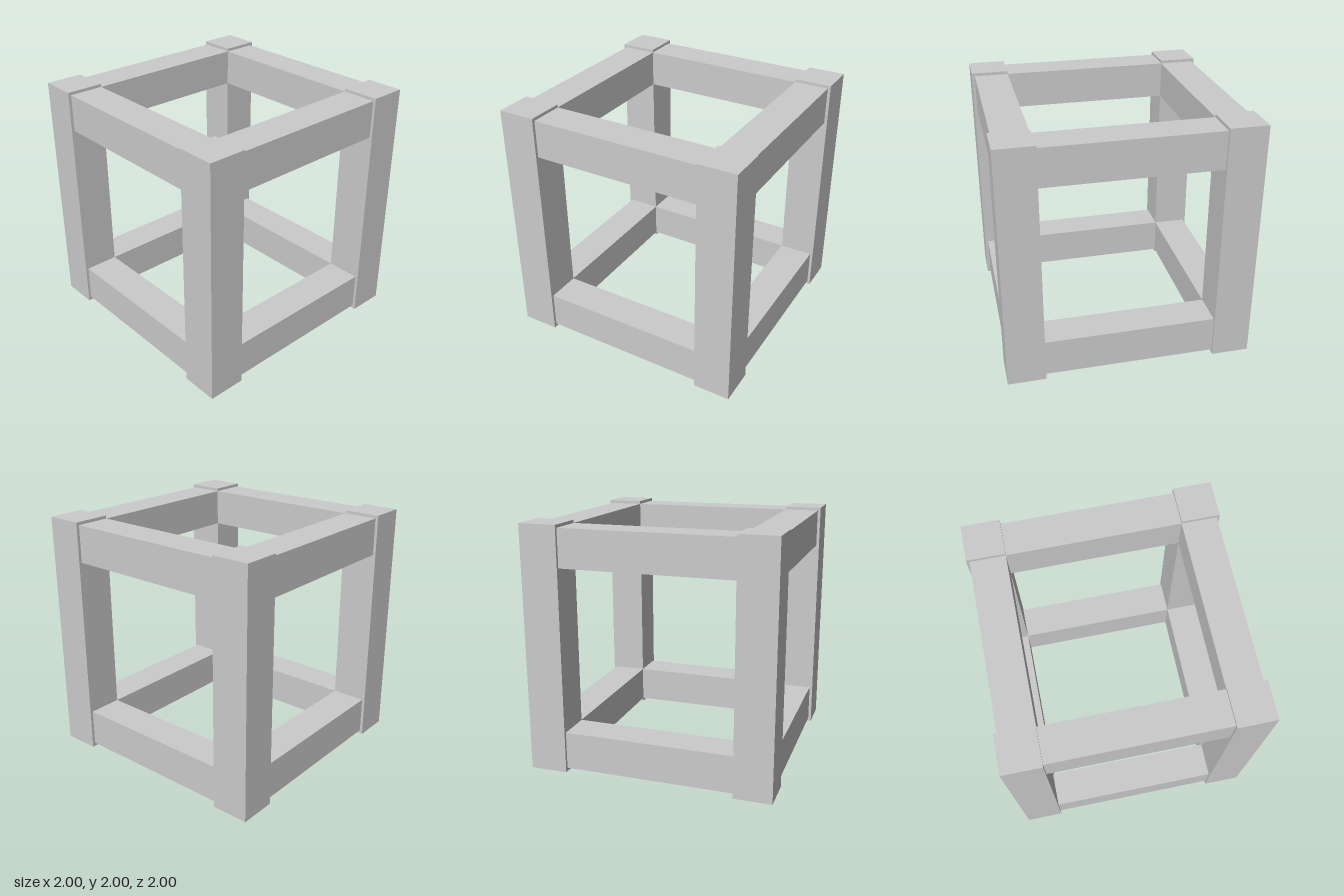
import * as THREE from 'three';

const POST = 0.306;          // post width, also rail height
const INNER = 1 - POST;      // inner faces of posts and rails
const OUTER = 0.976;         // outer faces of the rails, set back from the posts
const RAIL_Y = [0.183, 1.822];

export function createModel() {
  const group = new THREE.Group();
  group.name = 'cubeFrame';
  const material = new THREE.MeshStandardMaterial({ color: 0xcccccc, flatShading: true });

  const addBeam = (name, geometry, x, y, z, turn = 0) => {
    const mesh = new THREE.Mesh(geometry, material);
    mesh.name = name;
    mesh.position.set(x, y, z);
    mesh.rotation.y = turn;
    group.add(mesh);
  };

  // Four full-height corner posts
  const postGeometry = new THREE.BoxGeometry(POST, 2, POST);
  const postCentre = 1 - POST / 2;
  for (const [sx, side] of [[1, 'Left'], [-1, 'Right']]) {
    for (const [sz, end] of [[1, 'front'], [-1, 'back']]) {
      addBeam(`${end}${side}Post`, postGeometry, sx * postCentre, 1, sz * postCentre);
    }
  }

  // Lower and upper rails between the posts, flush on the inside
  const railGeometry = new THREE.BoxGeometry(2 * INNER, POST, OUTER - INNER);
  const railCentre = (INNER + OUTER) / 2;
  RAIL_Y.forEach((y, i) => {
    const level = i === 0 ? 'Lower' : 'Upper';
    ['front', 'left', 'back', 'right'].forEach((side, k) => {
      const turn = k * Math.PI / 2;
      addBeam(`${side}${level}Rail`, railGeometry,
        Math.sin(turn) * railCentre, y, Math.cos(turn) * railCentre, turn);
    });
  });

  return group;
}
